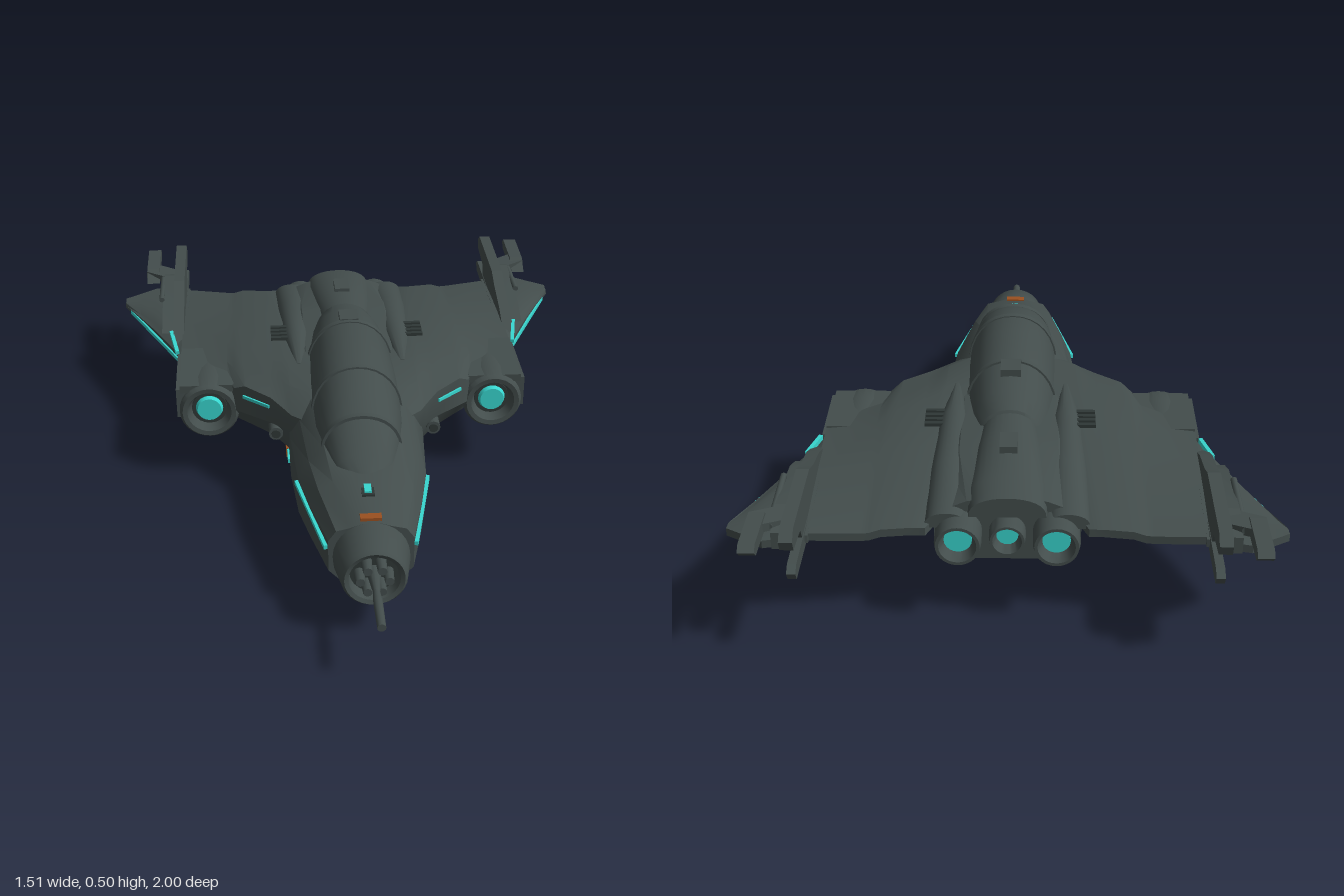
import * as THREE from 'three';
import { toCreasedNormals } from 'three/addons/utils/BufferGeometryUtils.js';

const mat = (name, color, side = THREE.FrontSide) => {
  const m = new THREE.MeshStandardMaterial({ color, side });
  m.name = name;
  return m;
};

// Skin a list of closed rings (arrays of [x,y,z]) and cap both ends, facing outward
function loft(rings, crease = 0.6) {
  const n = rings[0].length, pos = [], idx = [];
  rings.forEach(r => r.forEach(p => pos.push(...p)));
  for (let i = 0; i < rings.length - 1; i++)
    for (let j = 0; j < n; j++) {
      const a = i * n + j, b = i * n + (j + 1) % n;
      idx.push(a, b, b + n, a, b + n, a + n);
    }
  [0, rings.length - 1].forEach((i, end) => {
    const c = [0, 1, 2].map(k => rings[i].reduce((s, p) => s + p[k], 0) / n), ci = pos.length / 3;
    pos.push(...c);
    for (let j = 0; j < n; j++) {
      const a = i * n + j, b = i * n + (j + 1) % n;
      idx.push(...(end ? [a, b, ci] : [b, a, ci]));
    }
  });
  const v = i => new THREE.Vector3(pos[i * 3], pos[i * 3 + 1], pos[i * 3 + 2]);
  let volume = 0;
  for (let i = 0; i < idx.length; i += 3) volume += v(idx[i]).dot(v(idx[i + 1]).cross(v(idx[i + 2])));
  if (volume < 0) idx.reverse();
  const g = new THREE.BufferGeometry();
  g.setAttribute('position', new THREE.Float32BufferAttribute(pos, 3));
  g.setIndex(idx);
  return toCreasedNormals(g, crease);
}

// Hull section mirrored about x = 0: z, bottom, bottom width, width, low, high, top width, top
function hullRing([z, b, wb, w, lo, hi, wt, t]) {
  const half = [[wb, b], [w, lo], [w, hi], [(w + wt) / 2 + 0.008, (hi + t) / 2 + 0.005], [wt, t - 0.012], [wt * 0.4, t]];
  return [...half.map(([x, y]) => [x, y, z]), ...half.reverse().map(([x, y]) => [-x, y, z])];
}

// Arched section: z, half width, base, top
function archRing([z, w, b, t]) {
  return Array.from({ length: 17 }, (_, i) => {
    const a = Math.PI * i / 16;
    return [w * Math.sign(Math.cos(a)) * Math.abs(Math.cos(a)) ** 0.95, b + (t - b) * Math.sin(a) ** 0.8, z];
  });
}

// Wing section at x: front z, back z, top, bottom, edge height, nose half thickness
function wingRing(s, [x, f, k, t, b, e, h]) {
  const at = u => f + (k - f) * u;
  return [[0, e + h], [0.12, t - 0.008], [0.3, t], [0.6, t - 0.1 * (t - e)], [1, e + 0.012],
    [1, e - 0.012], [0.65, b + 0.35 * (e - b)], [0.3, b], [0.1, b + 0.01], [0, e - h]].map(([u, y]) => [s * x, y, at(u)]);
}

export function createModel() {
  const model = new THREE.Group();
  const hull = mat('hull grey', 0x434d4c, THREE.DoubleSide), dark = mat('dark metal', 0x2f3736),
    teal = mat('teal light', 0x38d6cf), orange = mat('orange mark', 0x9a5020);

  const add = (name, geo, m, x = 0, y = 0, z = 0) => {
    const mesh = new THREE.Mesh(geo, m);
    mesh.name = name;
    mesh.position.set(x, y, z);
    model.add(mesh);
    return mesh;
  };
  const box = (name, m, w, h, d, x, y, z) => add(name, new THREE.BoxGeometry(w, h, d), m, x, y, z);
  const rod = (name, m, rFront, rBack, len, x, y, z, sides = 20) =>
    add(name, new THREE.CylinderGeometry(rFront, rBack, len, sides).rotateX(Math.PI / 2), m, x, y, z);
  const beam = (name, m, a, b, w, h) => {
    const p = new THREE.Vector3(...a), q = new THREE.Vector3(...b);
    const mesh = box(name, m, w, h, p.distanceTo(q), 0, 0, 0);
    mesh.position.copy(p).lerp(q, 0.5);
    mesh.lookAt(q);
  };
  // Revolved profile of [radius, z], running along z
  const turned = (name, pts, x, y) => {
    const g = new THREE.LatheGeometry(pts.map(([r, z]) => new THREE.Vector2(r, z)), 28).rotateX(Math.PI / 2);
    add(name, toCreasedNormals(g, 0.6), hull, x, y);
  };

  // Fuselage
  add('fuselage', loft([
    [0.68, 0.085, 0.06, 0.12, 0.15, 0.25, 0.06, 0.303],
    [0.5, 0.06, 0.09, 0.162, 0.14, 0.25, 0.095, 0.338],
    [0.36, 0.06, 0.11, 0.19, 0.13, 0.25, 0.11, 0.36],
    [0.15, 0.06, 0.14, 0.205, 0.12, 0.26, 0.13, 0.38],
    [-0.2, 0.06, 0.15, 0.21, 0.12, 0.3, 0.14, 0.395],
    [-0.44, 0.065, 0.14, 0.21, 0.12, 0.3, 0.14, 0.405],
    [-0.51, 0.14, 0.14, 0.21, 0.18, 0.3, 0.14, 0.4],
    [-0.73, 0.18, 0.13, 0.2, 0.22, 0.3, 0.11, 0.378]].map(hullRing), 0.45), hull);
  add('bellyKeel', loft([
    [0.23, 0.055, 0.06, 0.1, 0.06, 0.1, 0.08, 0.12],
    [0.02, 0.03, 0.07, 0.13, 0.06, 0.1, 0.1, 0.12],
    [-0.2, 0.05, 0.07, 0.14, 0.065, 0.1, 0.1, 0.12],
    [-0.42, 0.06, 0.06, 0.12, 0.07, 0.1, 0.1, 0.12]].map(hullRing)), hull);
  add('chinPod', loft([
    [0.5, 0.012, 0.035, 0.045, 0.02, 0.06, 0.04, 0.1],
    [0.3, 0, 0.04, 0.05, 0.012, 0.06, 0.045, 0.1],
    [0.24, 0.035, 0.035, 0.045, 0.04, 0.06, 0.04, 0.1]].map(hullRing)), hull);
  box('chinPodMount', hull, 0.15, 0.05, 0.2, 0, 0.06, 0.34);

  // Canopy, its frames and the spine behind it
  const canopy = [[0.49, 0.05, 0.3, 0.338], [0.44, 0.09, 0.3, 0.375], [0.33, 0.118, 0.3, 0.44], [0.24, 0.132, 0.3, 0.478],
    [0.14, 0.138, 0.3, 0.497], [0.02, 0.14, 0.3, 0.505], [-0.16, 0.136, 0.3, 0.496], [-0.3, 0.122, 0.3, 0.47],
    [-0.38, 0.105, 0.3, 0.45], [-0.405, 0.09, 0.3, 0.41]];
  add('canopy', loft(canopy.map(archRing), 0.7), hull);
  [2, 4, 6].forEach(i => {
    const [z, w, b, t] = canopy[i];
    add('canopyFrame', loft([z + 0.01, z - 0.01].map(q => archRing([q, w + 0.005, b, t + 0.004]))), hull);
  });
  add('spine', loft([[-0.32, 0.08, 0.34, 0.445], [-0.5, 0.1, 0.34, 0.437], [-0.68, 0.112, 0.33, 0.415],
    [-0.76, 0.105, 0.335, 0.395]].map(archRing)), hull);
  box('dorsalHatch', hull, 0.06, 0.03, 0.07, 0, 0.487, -0.2);
  box('dorsalSensor', hull, 0.05, 0.03, 0.08, 0, 0.432, -0.54);

  // Nose collar, gun recess and probe
  turned('noseCollar', [[0.108, 0.66], [0.108, 0.7], [0.092, 0.785], [0.084, 0.795], [0.072, 0.79], [0.066, 0.75], [0, 0.75]], 0, 0.197);
  rod('noseRecess', dark, 0.067, 0.067, 0.008, 0, 0.197, 0.752);
  for (let i = 0; i < 6; i++) {
    const a = i * Math.PI / 3;
    rod('noseGun', hull, 0.013, 0.016, 0.06, 0.04 * Math.cos(a), 0.197 + 0.04 * Math.sin(a), 0.775, 10);
  }
  rod('probeBase', hull, 0.01, 0.022, 0.1, 0, 0.198, 0.8, 12);
  rod('probeNeck', hull, 0.013, 0.009, 0.05, 0, 0.198, 0.865, 12);
  rod('probeBarrel', hull, 0.012, 0.013, 0.115, 0, 0.198, 0.9425, 12);
  box('noseMark', orange, 0.06, 0.016, 0.025, 0, 0.306, 0.658);
  box('noseLamp', teal, 0.02, 0.014, 0.04, 0, 0.329, 0.55);
  box('noseLampHousing', dark, 0.036, 0.008, 0.055, 0, 0.326, 0.55);

  // Exhausts: two large outer nozzles and a small middle one
  [[-0.133, 0.064, -0.81], [0.133, 0.064, -0.81], [0, 0.05, -0.785]].forEach(([x, r, z]) => {
    turned('exhaustNozzle', [[r, -0.55], [r, z + 0.02], [r * 0.94, z], [r * 0.8, z], [r * 0.6, z + 0.04], [0, z + 0.04]], x, 0.273);
    rod('exhaustGlow', teal, r * 0.6, r * 0.6, 0.008, x, 0.273, z + 0.036);
  });

  [1, -1].forEach(s => {
    // Inner wing blending from the hull, and thin swept outer wing
    add('innerWing', loft([
      [0.12, 0.2, -0.73, 0.385, 0.13, 0.3, 0.03], [0.2, 0.13, -0.735, 0.382, 0.14, 0.3, 0.03],
      [0.22, 0.1, -0.78, 0.38, 0.145, 0.3, 0.035],
      [0.26, 0.045, -0.78, 0.376, 0.155, 0.3, 0.045], [0.34, -0.025, -0.79, 0.37, 0.165, 0.3, 0.05],
      [0.372, -0.05, -0.792, 0.362, 0.17, 0.29, 0.04], [0.395, -0.11, -0.795, 0.355, 0.175, 0.29, 0.04],
      [0.545, -0.12, -0.81, 0.338, 0.19, 0.3, 0.03]].map(r => wingRing(s, r))), hull);
    add('outerWing', loft([
      [0.53, -0.27, -0.82, 0.335, 0.235, 0.3, 0.012], [0.65, -0.53, -0.84, 0.318, 0.262, 0.295, 0.008],
      [0.7, -0.63, -0.81, 0.307, 0.275, 0.292, 0.006], [0.757, -0.735, -0.775, 0.298, 0.282, 0.29, 0.004]].map(r => wingRing(s, r))), hull);
    beam('wingEdgeLight', teal, [s * 0.556, 0.289, -0.325], [s * 0.734, 0.286, -0.7], 0.009, 0.013);
    beam('wingRootLight', teal, [s * 0.56, 0.318, -0.32], [s * 0.583, 0.333, -0.44], 0.012, 0.014);
    beam('wingFrontLight', teal, [s * 0.265, 0.312, 0.042], [s * 0.345, 0.312, -0.026], 0.008, 0.01);

    // Engine nacelle with glowing intake
    const nx = s * 0.455, ny = 0.245;
    turned('nacelle', [[0, -0.58], [0.04, -0.53], [0.075, -0.4], [0.094, -0.28], [0.098, -0.12], [0.094, -0.06],
      [0.085, -0.048], [0.07, -0.05], [0.056, -0.085], [0, -0.085]], nx, ny);
    rod('intakeRing', dark, 0.056, 0.056, 0.01, nx, ny, -0.084);
    rod('intakeGlow', teal, 0.038, 0.045, 0.016, nx, ny, -0.074);
    beam('nacelleTopFairing', hull, [s * 0.46, 0.322, -0.065], [s * 0.46, 0.332, -0.3], 0.17, 0.025);
    box('nacelleSideFairing', hull, 0.03, 0.1, 0.24, s * 0.543, 0.27, -0.19);
    rod('smallIntake', hull, 0.022, 0.022, 0.1, s * 0.247, 0.235, 0.03);
    rod('smallIntakeHole', dark, 0.014, 0.014, 0.008, s * 0.247, 0.235, 0.08);

    // Hull side lights and marks
    beam('noseSideLight', teal, [s * 0.124, 0.226, 0.675], [s * 0.193, 0.238, 0.36], 0.016, 0.013);
    beam('chinLight', teal, [s * 0.143, 0.105, 0.46], [s * 0.162, 0.105, 0.38], 0.02, 0.018);
    box('sideLight', teal, 0.01, 0.016, 0.06, s * 0.208, 0.145, 0.07);
    box('sideMark', orange, 0.01, 0.034, 0.065, s * 0.211, 0.134, 0);

    // Vents and shoulder fairing on top
    for (let i = 0; i < 4; i++) box('ventSlat', dark, 0.055, 0.01, 0.014, s * 0.222, 0.384, -0.275 - i * 0.025);
    add('shoulderFairing', loft([[-0.1, 0.02, 0.33, 0.385], [-0.3, 0.05, 0.33, 0.402], [-0.55, 0.06, 0.3, 0.388],
      [-0.76, 0.06, 0.3, 0.345]].map(r => archRing(r).map(([x, y, z]) => [x + s * 0.165, y, z]))), hull);

    // Wing-tip fin with twin rearward prongs
    const slab = (name, x, w, pts) => add(name, loft([-w, w].map(d => pts.map(([z, y]) => [s * (x + d), y, z])), 0.3), hull);
    slab('tipFin', 0.558, 0.018, [[-0.38, 0.32], [-0.48, 0.365], [-0.6, 0.395], [-0.66, 0.42], [-0.95, 0.424], [-0.98, 0.4],
      [-0.97, 0.37], [-0.86, 0.355], [-0.82, 0.28], [-0.5, 0.28]]);
    slab('tipFinCover', 0.59, 0.026, [[-0.46, 0.32], [-0.54, 0.355], [-0.78, 0.385], [-0.88, 0.36], [-0.88, 0.31], [-0.7, 0.29]]);
    slab('lowerProng', 0.55, 0.012, [[-0.75, 0.32], [-0.96, 0.32], [-0.985, 0.305], [-0.97, 0.28], [-0.75, 0.275]]);
    slab('outerProng', 0.657, 0.022, [[-0.78, 0.355], [-0.83, 0.39], [-0.98, 0.395], [-1, 0.38], [-0.98, 0.36], [-0.85, 0.35]]);
    beam('prongStrut', hull, [s * 0.57, 0.365, -0.8], [s * 0.665, 0.372, -0.85], 0.07, 0.025);
    rod('tipBarrel', hull, 0.009, 0.009, 0.25, s * 0.62, 0.37, -0.74, 10);
  });
  return model;
}
